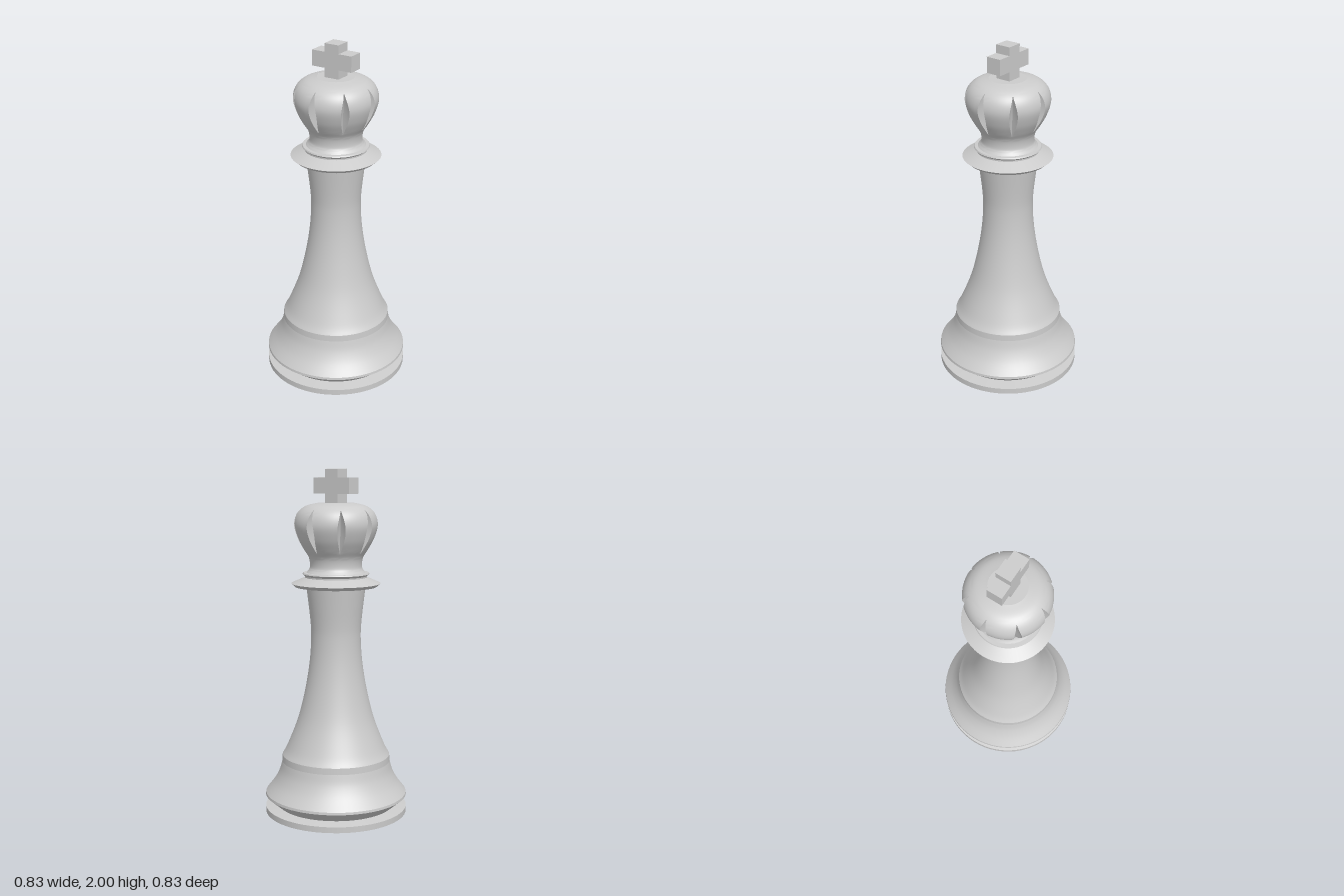
import * as THREE from 'three';
import { toCreasedNormals } from 'three/addons/utils/BufferGeometryUtils.js';

const material = new THREE.MeshStandardMaterial({ color: 0xcccccc });
const SEGMENTS = 64;

// Smooth curve through [radius, height] points
function smooth(points, divisions) {
  const curve = new THREE.SplineCurve(points.map(([r, y]) => new THREE.Vector2(r, y)));
  return curve.getPoints(divisions).map((p) => [p.x, p.y]);
}

function addMesh(parent, name, geometry) {
  const mesh = new THREE.Mesh(geometry, material);
  mesh.name = name;
  parent.add(mesh);
  return mesh;
}

// Turned part from bottom to top, with a sharp edge between the given profiles
function turned(parent, name, profiles) {
  const part = new THREE.Group();
  part.name = name;
  profiles.forEach((profile, i) => {
    const points = profile.map(([r, y]) => new THREE.Vector2(r, y));
    addMesh(part, `${name}Surface${i + 1}`, new THREE.LatheGeometry(points, SEGMENTS));
  });
  parent.add(part);
}

// Straight-sided profile: every segment becomes its own sharp-edged band
function bands(points) {
  return points.slice(1).map((p, i) => [points[i], p]);
}

// Bulbous head with eight lens-shaped vertical notches
function headGeometry() {
  const rows = smooth([
    [0.17, 1.415], [0.15, 1.445], [0.155, 1.5], [0.185, 1.55], [0.217, 1.61],
    [0.238, 1.685], [0.222, 1.75], [0.175, 1.792], [0.105, 1.81],
  ], 48);
  const notches = 8, plain = 6;
  const sector = (Math.PI * 2) / notches;
  // Cross-section of a notch: [share of half width, share of depth]
  const section = [[-1, 0], [-0.65, 0.55], [0, 1], [0.65, 0.55], [1, 0]];
  const positions = [], indices = [];
  const columns = notches * (section.length + plain - 1);

  for (const [radius, y] of rows) {
    const t = THREE.MathUtils.clamp((y - 1.535) / 0.235, 0, 1);
    const width = 0.01 + 0.09 * Math.sin(Math.PI * t);
    const floor = THREE.MathUtils.lerp(0.172, 0.197, t);
    const depth = t > 0 && t < 1 ? Math.max(0, radius - floor) : 0;
    for (let n = 0; n < notches; n++) {
      const put = (angle, r) => {
        const a = n * sector + angle;
        positions.push(r * Math.sin(a), y, r * Math.cos(a));
      };
      for (const [w, d] of section) put(w * width, radius - d * depth);
      for (let i = 1; i < plain; i++) {
        put(THREE.MathUtils.lerp(width, sector - width, i / plain), radius);
      }
    }
  }
  for (let j = 0; j < rows.length - 1; j++) {
    for (let i = 0; i < columns; i++) {
      const a = j * columns + i, b = j * columns + ((i + 1) % columns);
      indices.push(a, b, b + columns, a, b + columns, a + columns);
    }
  }
  const geometry = new THREE.BufferGeometry();
  geometry.setAttribute('position', new THREE.Float32BufferAttribute(positions, 3));
  geometry.setIndex(indices);
  return toCreasedNormals(geometry, 0.5);
}

// Cross with square bars
function crossGeometry() {
  const arm = 0.126, half = 0.045, bottom = 1.8, low = 1.862, high = 1.952, top = 2;
  const outline = [
    [-half, bottom], [half, bottom], [half, low], [arm, low], [arm, high], [half, high],
    [half, top], [-half, top], [-half, high], [-arm, high], [-arm, low], [-half, low],
  ];
  const shape = new THREE.Shape(outline.map(([x, y]) => new THREE.Vector2(x, y)));
  const geometry = new THREE.ExtrudeGeometry(shape, { depth: half * 2, bevelEnabled: false });
  return geometry.translate(0, 0, -half);
}

export function createModel() {
  const model = new THREE.Group();
  model.name = 'chessKing';

  // Foot disc with a groove above it
  turned(model, 'foot', bands([
    [0, 0], [0.416, 0], [0.416, 0.034], [0.345, 0.044], [0.416, 0.104], [0.414, 0.118],
  ]));

  // Flared base
  turned(model, 'base', [
    smooth([[0.414, 0.118], [0.365, 0.182], [0.333, 0.245], [0.317, 0.305]], 14),
    [[0.317, 0.305], [0.315, 0.342]],
  ]);

  // Tapering stem
  turned(model, 'stem', [
    smooth([
      [0.315, 0.342], [0.284, 0.4], [0.222, 0.56], [0.18, 0.73],
      [0.154, 0.89], [0.144, 1.03], [0.148, 1.14], [0.17, 1.332],
    ], 36),
  ]);

  // Wide collar and the small ring on it
  turned(model, 'collar', bands([
    [0.165, 1.332], [0.235, 1.335], [0.257, 1.354], [0.178, 1.388],
    [0.178, 1.396], [0.192, 1.408], [0.188, 1.415], [0.168, 1.416],
  ]));

  addMesh(model, 'head', headGeometry());
  turned(model, 'headTop', [[[0.105, 1.81], [0, 1.81]]]);
  addMesh(model, 'cross', crossGeometry());

  return model;
}
